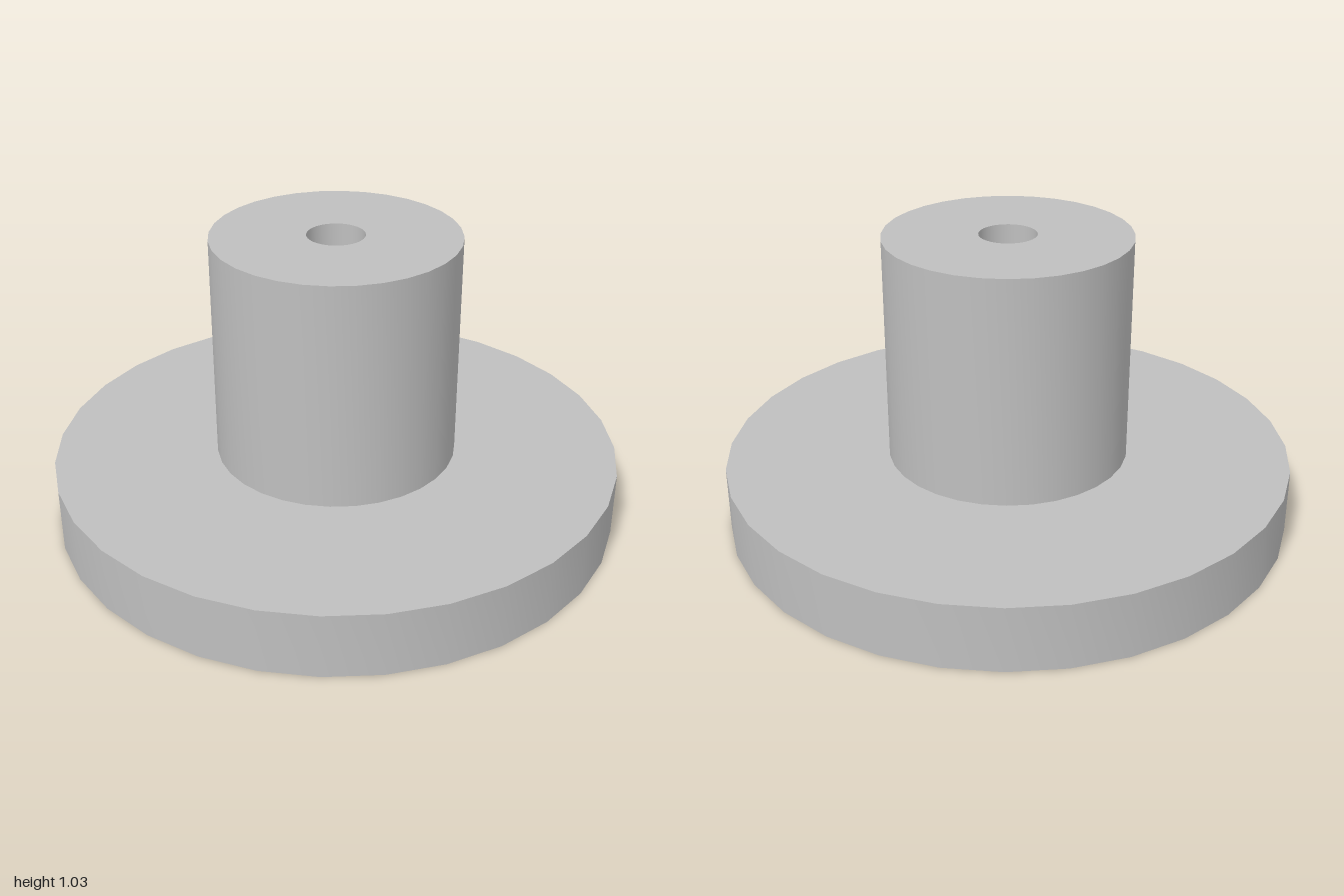
import * as THREE from 'three';
import { toCreasedNormals } from 'three/addons/utils/BufferGeometryUtils.js';

const SIDES = 32;

// Revolves an [radius, height] profile, smooth around and sharp at the rims
function turned(name, profile, material) {
  const points = profile.map(([r, y]) => new THREE.Vector2(r, y));
  const geometry = toCreasedNormals(new THREE.LatheGeometry(points, SIDES), 0.6);
  const mesh = new THREE.Mesh(geometry, material);
  mesh.name = name;
  return mesh;
}

export function createModel() {
  const grey = new THREE.MeshStandardMaterial({ color: 0xbfbfbf });
  grey.name = 'grey';

  const baseTop = 0.23, postTop = 1.03, postRadius = 0.427;
  const boreRadius = 0.1, pilotRadius = 0.073, boreFloor = 0.63;

  const model = new THREE.Group();
  model.name = 'flangedPost';

  // Wide round foot, open only where the post joins it
  model.add(turned('baseFlange', [
    [0, 0], [1, 0], [1, baseTop], [postRadius, baseTop],
  ], grey));

  // Post wall and its top ring
  model.add(turned('post', [
    [postRadius, baseTop], [postRadius, postTop], [boreRadius, postTop],
  ], grey));

  // Blind stepped hole down the middle of the post
  model.add(turned('steppedBore', [
    [boreRadius, postTop], [boreRadius, boreFloor], [pilotRadius, boreFloor],
    [pilotRadius, baseTop], [0, baseTop],
  ], grey));

  return model;
}
